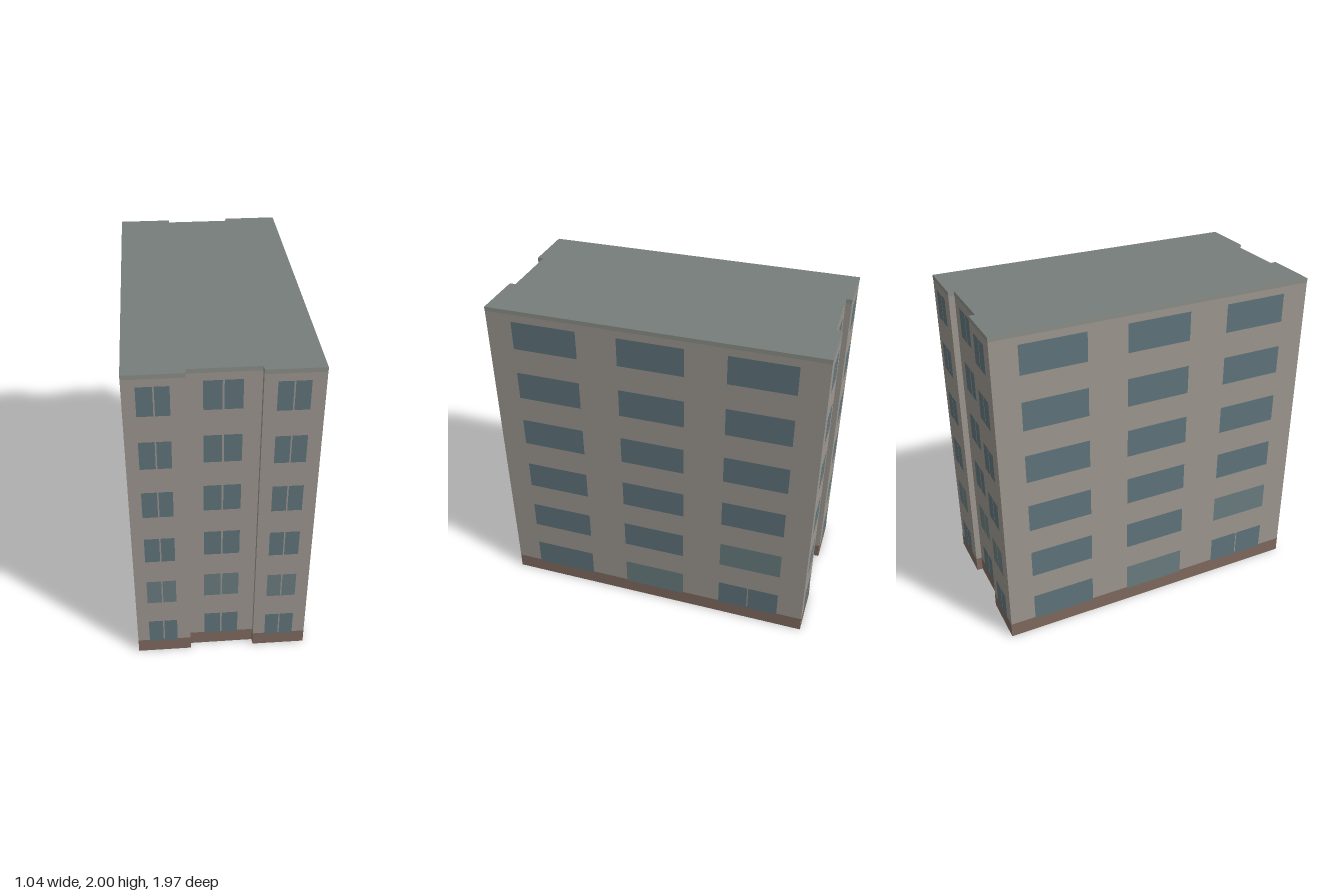
import * as THREE from 'three';
import { mergeGeometries } from 'three/addons/utils/BufferGeometryUtils.js';

const mat = (color, side = THREE.FrontSide) => new THREE.MeshStandardMaterial({ color, side });

// Half of the footprint as [x, z]; the other half is the same turned by 180 degrees
const half = [[-0.52, 0.975], [-0.2, 0.978], [-0.2, 0.942], [0.185, 0.945], [0.185, 0.981], [0.5, 0.985]];
const outline = [...half, ...half.map(([x, z]) => [-x, -z])];

// Upright rectangle on the wall a-b, from fraction u0 to u1, pushed outward by off
function panel(a, b, u0, u1, y0, y1, off = 0) {
  const dx = b[0] - a[0], dz = b[1] - a[1], len = Math.hypot(dx, dz);
  const at = (u, y) => [a[0] + dx * u - (dz / len) * off, y, a[1] + dz * u + (dx / len) * off];
  const g = new THREE.BufferGeometry();
  const p = [at(u0, y0), at(u1, y0), at(u1, y1), at(u0, y1)];
  g.setAttribute('position', new THREE.Float32BufferAttribute(p.flat(), 3));
  g.setIndex([0, 1, 2, 0, 2, 3]);
  g.computeVertexNormals();
  return g;
}

// Band running round the whole footprint
function band(y0, y1, off) {
  return mergeGeometries(outline.map((a, i) =>
    panel(a, outline[(i + 1) % outline.length], 0, 1, y0, y1, off)));
}

export function createModel() {
  const group = new THREE.Group();
  const add = (name, geometry, material) => {
    const mesh = new THREE.Mesh(geometry, material);
    mesh.name = name;
    group.add(mesh);
  };

  // Shell, open at the bottom
  add('walls', band(0, 2, 0), mat(0x9d9790, THREE.DoubleSide));
  add('plinth', band(0, 0.095, 0.0015), mat(0x806a60));
  add('roofEdge', band(1.975, 2, 0.0015), mat(0x8c8f89));

  const roof = new THREE.Shape(outline.map(([x, z]) => new THREE.Vector2(x, -z)));
  add('roof', new THREE.ShapeGeometry(roof).rotateX(-Math.PI / 2).translate(0, 2, 0),
    mat(0x767d7a, THREE.DoubleSide));

  // Window panes: wall index, axis read along the wall (0 = x, 1 = z), pane spans
  const facades = [
    [0, 0, [[-0.45, -0.365], [-0.357, -0.28]]],
    [2, 0, [[-0.113, -0.016], [-0.006, 0.09]]],
    [4, 0, [[0.255, 0.336], [0.344, 0.425]]],
    [5, 1, [[0.83, 0.44], [0.2, -0.19], [-0.43, -0.815]]],
  ];
  const dark = [], light = [];
  for (const turn of [0, Math.PI]) {
    for (const [wall, axis, spans] of facades) {
      const a = outline[wall], b = outline[wall + 1];
      for (let floor = 0; floor < 6; floor++) {
        const y = 0.086 + floor * 0.334;
        spans.forEach(([s, e], k) => {
          // The last ground-floor window on the long side is split in two
          const split = axis === 1 && floor === 0 && k === 2;
          const panes = split ? [[s, -0.617], [-0.624, e]] : [[s, e]];
          const pale = axis === 0 ? floor === 1 : (floor === 0 && k === 1) || (floor === 1 && k === 2);
          for (const pane of panes) {
            const [u0, u1] = pane.map(v => (v - a[axis]) / (b[axis] - a[axis]));
            (pale ? light : dark).push(panel(a, b, u0, u1, y, y + 0.175, 0.003).rotateY(turn));
          }
        });
      }
    }
  }
  add('windows', mergeGeometries(dark), mat(0x60757b));
  add('paleWindows', mergeGeometries(light), mat(0x6a7d80));
  return group;
}
